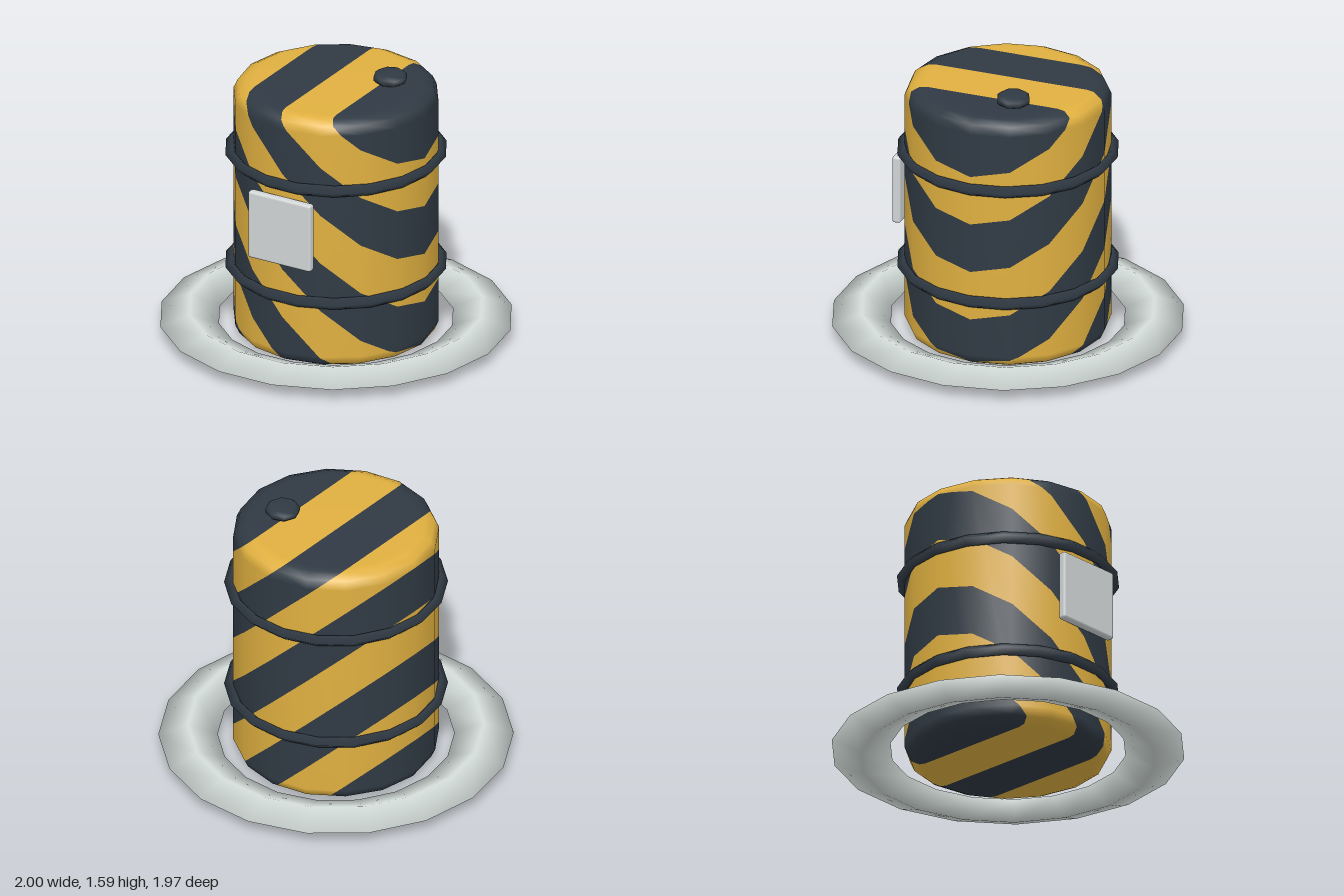
import * as THREE from 'three';
import { RoundedBoxGeometry } from 'three/addons/geometries/RoundedBoxGeometry.js';

const material = (name, color) => {
  const m = new THREE.MeshStandardMaterial({ color });
  m.name = name;
  return m;
};

const lathe = (profile, sides) =>
  new THREE.LatheGeometry(profile.map(([r, y]) => new THREE.Vector2(r, y)), sides);

// Torus lying flat with a four-sided (diamond) section
const flatRing = (radius, halfWidth, halfHeight) =>
  new THREE.TorusGeometry(radius, halfWidth, 4, 18)
    .scale(1, 1, halfHeight / halfWidth)
    .rotateX(Math.PI / 2);

// Diagonal stripes: bands of constant x + y
const STRIPE_WIDTH = 0.295;
const STRIPE_START = 1.18;
const band = (v) => (v[0] + v[1] - STRIPE_START) / STRIPE_WIDTH;

// Keep the part of a polygon where sign * (band - limit) >= 0
function clip(polygon, limit, sign) {
  const out = [];
  polygon.forEach((a, i) => {
    const b = polygon[(i + 1) % polygon.length];
    const da = sign * (band(a) - limit);
    const db = sign * (band(b) - limit);
    if (da >= 0) out.push(a);
    if (da * db < 0) out.push(a.map((v, k) => v + (b[k] - v) * da / (da - db)));
  });
  return out;
}

// Split a surface along the stripe edges into [even, odd] geometries
function splitStripes(geometry) {
  const source = geometry.toNonIndexed();
  const p = source.attributes.position;
  const n = source.attributes.normal;
  const vertex = (i) => [p.getX(i), p.getY(i), p.getZ(i), n.getX(i), n.getY(i), n.getZ(i)];
  const sets = [{ pos: [], nor: [] }, { pos: [], nor: [] }];
  for (let i = 0; i < p.count; i += 3) {
    const tri = [vertex(i), vertex(i + 1), vertex(i + 2)];
    const levels = tri.map(band);
    const last = Math.floor(Math.max(...levels));
    for (let k = Math.floor(Math.min(...levels)); k <= last; k++) {
      const poly = clip(clip(tri, k, 1), k + 1, -1);
      const set = sets[Math.abs(k % 2)];
      for (let j = 1; j + 1 < poly.length; j++) {
        for (const v of [poly[0], poly[j], poly[j + 1]]) {
          set.pos.push(v[0], v[1], v[2]);
          set.nor.push(v[3], v[4], v[5]);
        }
      }
    }
  }
  return sets.map(({ pos, nor }) => {
    const g = new THREE.BufferGeometry();
    g.setAttribute('position', new THREE.Float32BufferAttribute(pos, 3));
    g.setAttribute('normal', new THREE.Float32BufferAttribute(nor, 3));
    return g;
  });
}

export function createModel() {
  const model = new THREE.Group();
  model.name = 'stripedBarrel';
  const yellow = material('hazardYellow', 0xe0b040);
  const dark = material('darkSlate', 0x303a44);
  const pale = material('paleGrey', 0xd6dfdc);
  const panelGrey = material('panelGrey', 0xd2d6d6);

  const add = (name, geometry, mat, x = 0, y = 0, z = 0) => {
    const mesh = new THREE.Mesh(geometry, mat);
    mesh.name = name;
    mesh.position.set(x, y, z);
    model.add(mesh);
  };

  // Barrel with rounded rims, cut into two colours
  const [darkStripes, yellowStripes] = splitStripes(lathe([
    [0, 0], [0.47, 0], [0.51, 0.005], [0.56, 0.03], [0.583, 0.08],
    [0.583, 1.45], [0.56, 1.5], [0.51, 1.525], [0.47, 1.53], [0, 1.53],
  ], 16));
  add('barrelDarkStripes', darkStripes, dark);
  add('barrelYellowStripes', yellowStripes, yellow);

  // Hoops round the barrel
  for (const [name, y] of [['lowerHoop', 0.42], ['upperHoop', 1.115]]) {
    add(name, flatRing(0.594, 0.036, 0.036), dark, 0, y, 0);
  }

  // Wide floating ring at the foot
  add('baseRing', flatRing(0.833, 0.167, 0.066), pale, 0, 0.074, 0);

  // Filler cap on the lid
  add('fillerCap', lathe([
    [0, 0], [0.075, 0], [0.097, 0.02], [0.097, 0.045], [0.075, 0.063], [0, 0.063],
  ], 8), dark, 0.273, 1.53, -0.14);

  // Blank panel on the front
  add('frontPanel', new RoundedBoxGeometry(0.41, 0.41, 0.05, 2, 0.015), panelGrey, 0, 0.837, 0.598);

  return model;
}
